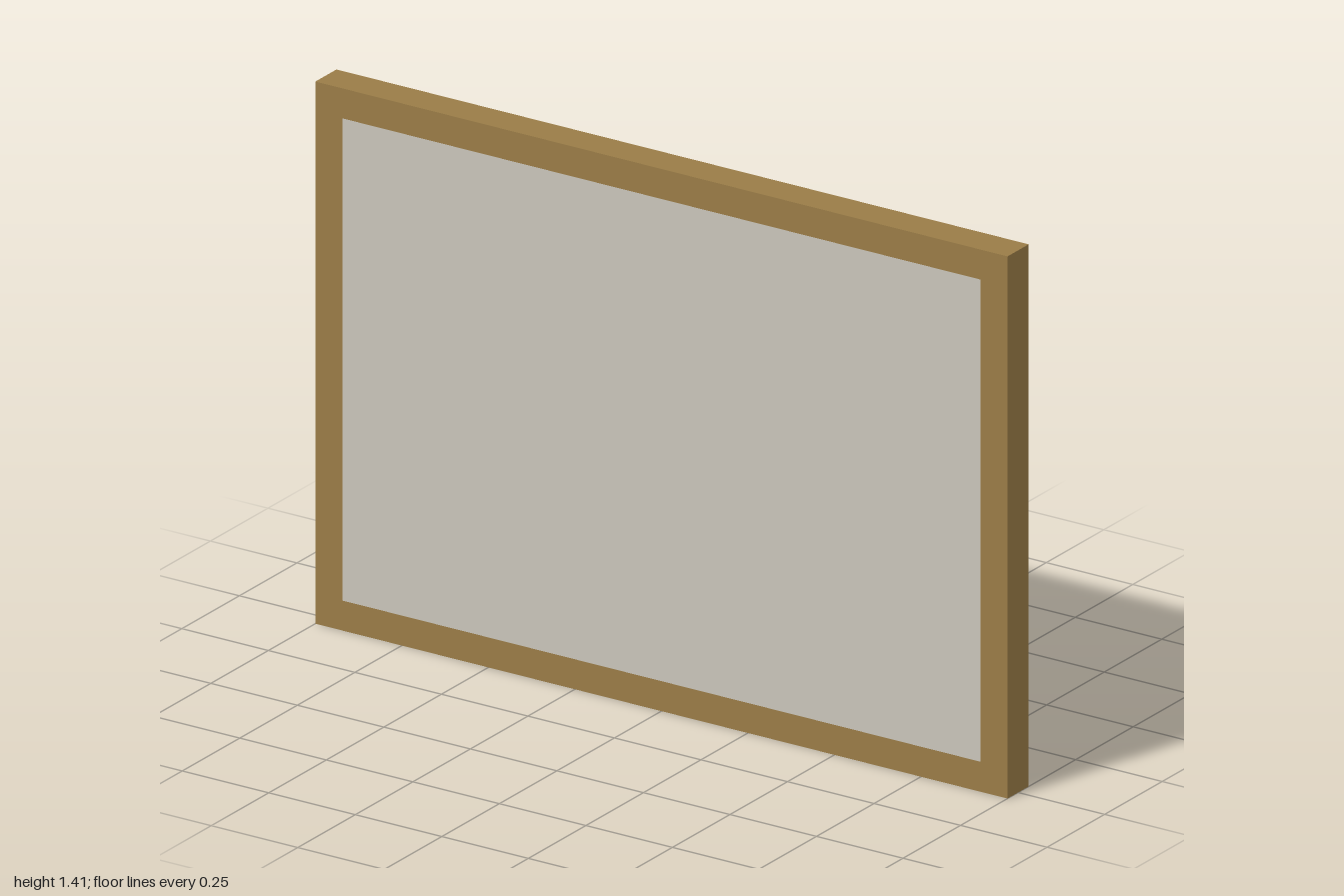
import * as THREE from 'three';

const WIDTH = 2, HEIGHT = 1.41, DEPTH = 0.092, BAR = 0.078;

const wood = new THREE.MeshStandardMaterial({ color: 0x9a7c47 });
const cloth = new THREE.MeshStandardMaterial({ color: 0xcac5ba });
const dark = new THREE.MeshStandardMaterial({ color: 0x4c433e });

function addBox(parent, name, material, size, position) {
  const mesh = new THREE.Mesh(new THREE.BoxGeometry(...size), material);
  mesh.name = name;
  mesh.position.set(...position);
  parent.add(mesh);
}

export function createModel() {
  const model = new THREE.Group();
  model.name = 'framedPanel';
  const innerW = WIDTH - 2 * BAR, innerH = HEIGHT - 2 * BAR, midY = HEIGHT / 2;

  // Frame: full-height uprights with the rails butted between them
  const frame = new THREE.Group();
  frame.name = 'frame';
  for (const [side, s] of [['left', 1], ['right', -1]]) {
    addBox(frame, side + 'Upright', wood, [BAR, HEIGHT, DEPTH], [s * (WIDTH - BAR) / 2, midY, 0]);
  }
  for (const [side, s] of [['top', 1], ['bottom', -1]]) {
    addBox(frame, side + 'Rail', wood, [innerW, BAR, DEPTH], [0, midY + s * (HEIGHT - BAR) / 2, 0]);
  }
  model.add(frame);

  // Pale sheet flush with the front, dark backing flush with the back
  const sheet = 0.01;
  addBox(model, 'frontSheet', cloth, [innerW, innerH, sheet], [0, midY, (DEPTH - sheet) / 2]);
  addBox(model, 'backing', dark, [innerW, innerH, DEPTH - sheet], [0, midY, -sheet / 2]);

  return model;
}
